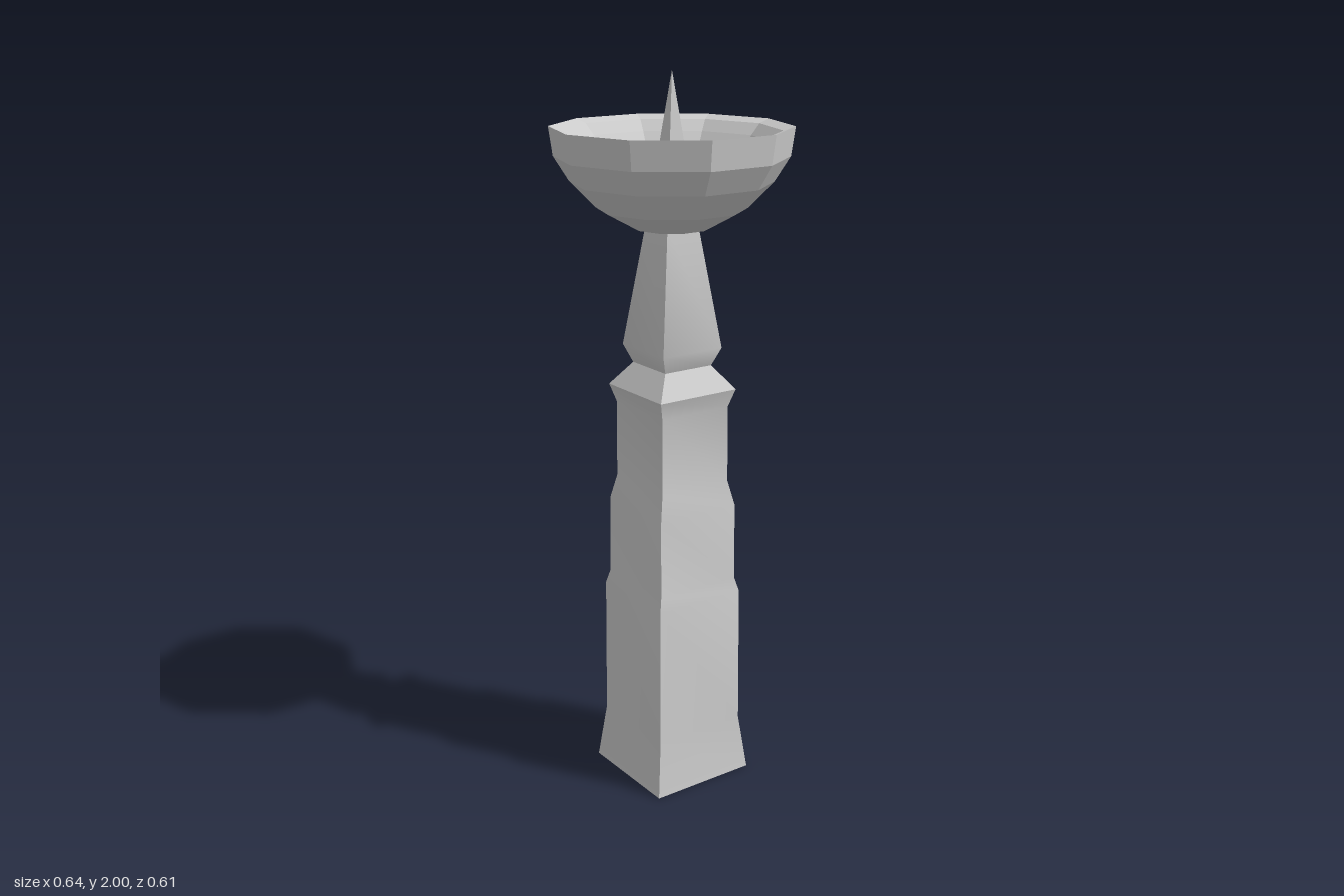
import * as THREE from 'three';
import { toCreasedNormals } from 'three/addons/utils/BufferGeometryUtils.js';

// Revolve [radius, y] pairs, listed from the outside bottom upwards.
function turned(profile, sides, phiStart, scale = 1) {
  const points = profile.map(([r, y]) => new THREE.Vector2(r * scale, y));
  return new THREE.LatheGeometry(points, sides, phiStart);
}

function addPart(group, name, geometry, options = {}) {
  const material = new THREE.MeshStandardMaterial({ color: 0xcccccc, ...options });
  const mesh = new THREE.Mesh(geometry, material);
  mesh.name = name;
  group.add(mesh);
  return mesh;
}

export function createModel() {
  const group = new THREE.Group();
  group.name = 'candleStand';

  // Square stepped column, open underneath; [half width, y]
  const columnProfile = [
    [0.157, 0], [0.138, 0.16], [0.136, 0.56], [0.126, 0.6], [0.125, 0.82],
    [0.11, 0.89], [0.109, 1.105], [0.124, 1.155], [0.076, 1.22],
    [0.096, 1.27], [0.05, 1.6],
  ];
  const column = toCreasedNormals(
    turned(columnProfile, 4, Math.PI / 4, Math.SQRT2), Math.PI / 3.5);
  addPart(group, 'column', column, { side: THREE.DoubleSide });

  // Ten-sided thick bowl: outside, sloping rim, then the shallower inside
  const bowlProfile = [
    [0, 1.59], [0.105, 1.594], [0.2, 1.645], [0.27, 1.715], [0.311, 1.78],
    [0.322, 1.857], [0.29, 1.846], [0.262, 1.816], [0.225, 1.766],
    [0.163, 1.73], [0.085, 1.71], [0, 1.705],
  ];
  addPart(group, 'bowl', turned(bowlProfile, 10, Math.PI / 2), { flatShading: true });

  // Four-sided candle spike, seated in the bowl floor
  const spike = new THREE.ConeGeometry(0.037 * Math.SQRT2, 0.295, 4, 1, false, Math.PI / 4);
  addPart(group, 'spike', spike, { flatShading: true }).position.y = 2 - 0.295 / 2;

  return group;
}
